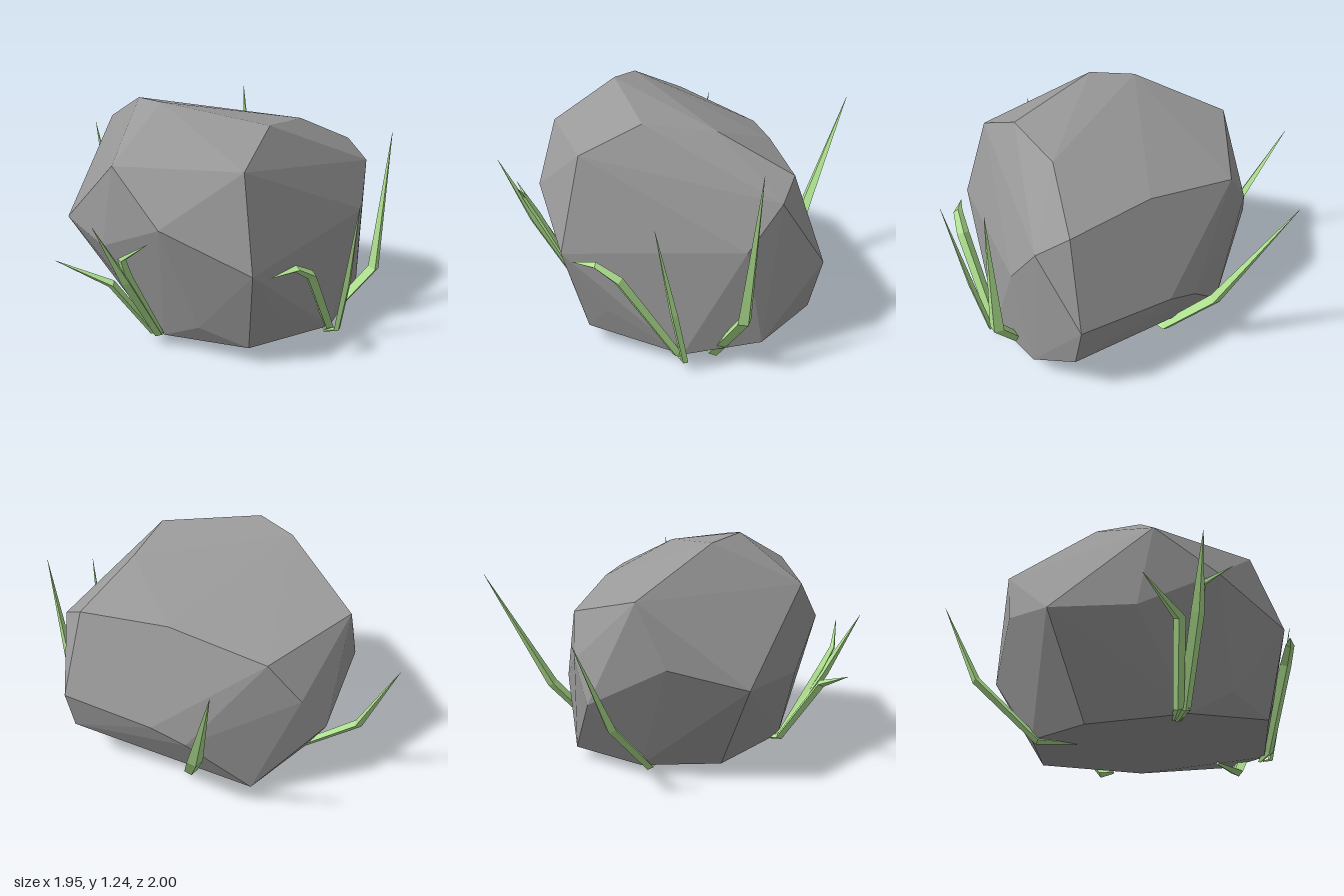
import * as THREE from 'three';
import { ConvexGeometry } from 'three/addons/geometries/ConvexGeometry.js';

const V = (p) => new THREE.Vector3(...p);

// Corners of the boulder, each ring listed around the stone
const crown = [
  [-0.34, 1.25, 0], [-0.25, 1.22, -0.23], [-0.16, 1.18, 0.53], [0.20, 1.13, 0.49],
  [-0.46, 1.04, 0.59], [-0.68, 1.0, -0.03], [0, 0.99, -0.675], [0.44, 0.86, -0.42],
  [0.485, 0.955, 0.11], [0.565, 0.95, 0.59], [0.5, 0.87, 0.74],
];
const waist = [
  [-0.72, 0.76, 0.29], [-0.68, 0.55, -0.12], [-0.53, 0.555, -0.53], [-0.15, 0.665, -0.67],
  [0.26, 0.45, -0.68], [0.37, 0.65, -0.58], [0.66, 0.385, -0.07], [0.697, 0.46, 0.11],
  [0.727, 0.505, 0.63], [0.34, 0.65, 0.81], [-0.55, 0.58, 0.71],
];
const foot = [
  [0.665, 0.26, 0.64], [0.43, 0.125, 0.77], [0.04, 0.08, 0.82], [-0.33, 0.27, 0.725],
  [-0.445, 0.115, 0.63], [-0.555, 0.2, 0.4], [-0.55, 0.07, 0.17], [-0.33, 0.05, -0.29],
  [0.05, 0.075, -0.49], [0.48, 0.07, -0.36], [0.38, 0.035, 0.2],
];

// Grass blades: half width, and centre line from root to tip
const blades = [
  ['grassBladeLeft', 0.042, [[0.42, 0.04, 0.04], [0.5, 0.05, 0], [0.72, 0.36, -0.16], [0.975, 1.02, -0.4]]],
  ['grassBladeBack', 0.032, [[0, 0.06, -0.26], [0.02, 0.06, -0.46], [0.085, 0.39, -0.8], [0.18, 0.85, -1]]],
  ['grassBladeFrontTall', 0.042, [[0.12, 0.05, 0.57], [0.2, 0.03, 0.72], [0.33, 0.34, 0.91], [0.39, 1.09, 0.92]]],
  ['grassBladeFrontThin', 0.022, [[0.02, 0.05, 0.8], [0.05, 0.07, 0.86], [0.0, 0.38, 0.92], [-0.08, 0.86, 0.995]]],
  ['grassBladeFrontBent', 0.034, [[0.04, 0.05, 0.79], [0.01, 0.1, 0.83], [-0.26, 0.52, 0.85], [-0.37, 0.59, 0.83], [-0.49, 0.57, 0.77]]],
  ['grassBladeRightTall', 0.034, [[-0.46, 0.06, 0.14], [-0.57, 0.08, 0.14], [-0.8, 0.48, 0.14], [-0.975, 0.82, 0.12]]],
  ['grassBladeRightBent', 0.028, [[-0.47, 0.06, 0.15], [-0.57, 0.09, 0.15], [-0.78, 0.5, 0.14], [-0.835, 0.62, 0.16], [-0.83, 0.74, 0.32]]],
  ['grassBladeRightLow', 0.03, [[-0.47, 0.06, 0.12], [-0.57, 0.08, 0.11], [-0.8, 0.44, 0.05], [-0.955, 0.56, -0.17]]],
];

// Blade with a diamond section, ridged on both faces and tapering to a point
function bladeGeometry(line, width) {
  const pts = line.map(V), last = pts.length - 1;
  const lean = pts[last].clone().sub(pts[0]).setY(0).normalize();
  const side = new THREE.Vector3(0, 1, 0).cross(lean);
  const position = [], index = [];
  pts.forEach((p, k) => {
    const along = pts[Math.min(k + 1, last)].clone().sub(pts[Math.max(k - 1, 0)]).normalize();
    const ridge = side.clone().cross(along).normalize();
    const w = k === 0 ? width * 0.3 : k === last ? 0.001 : k === 1 ? width * 0.9 : width * (1 - 0.25 * (k - 2));
    for (const [axis, r] of [[side, -w], [ridge, w * 0.7], [side, w], [ridge, -w * 0.7]]) {
      position.push(...p.clone().addScaledVector(axis, r).toArray());
    }
    if (k === last) return;
    for (let i = 0; i < 4; i++) {
      const a = k * 4 + i, b = k * 4 + (i + 1) % 4;
      index.push(a, b, b + 4, a, b + 4, a + 4);
    }
  });
  index.push(0, 2, 1, 0, 3, 2);
  const geo = new THREE.BufferGeometry();
  geo.setAttribute('position', new THREE.Float32BufferAttribute(position, 3));
  geo.setIndex(index);
  const flat = geo.toNonIndexed();
  flat.computeVertexNormals();
  return flat;
}

export function createModel() {
  const model = new THREE.Group();
  model.name = 'boulderWithGrass';

  // Faceted boulder
  const stone = new THREE.MeshStandardMaterial({ color: 0x999999, flatShading: true });
  const boulder = new THREE.Mesh(new ConvexGeometry([...crown, ...waist, ...foot].map(V)), stone);
  boulder.name = 'boulder';
  model.add(boulder);

  // Grass around the foot
  const green = new THREE.MeshStandardMaterial({ color: 0xb0e290, flatShading: true });
  const grass = new THREE.Group();
  grass.name = 'grass';
  for (const [name, width, line] of blades) {
    const blade = new THREE.Mesh(bladeGeometry(line, width), green);
    blade.name = name;
    grass.add(blade);
  }
  model.add(grass);
  return model;
}
